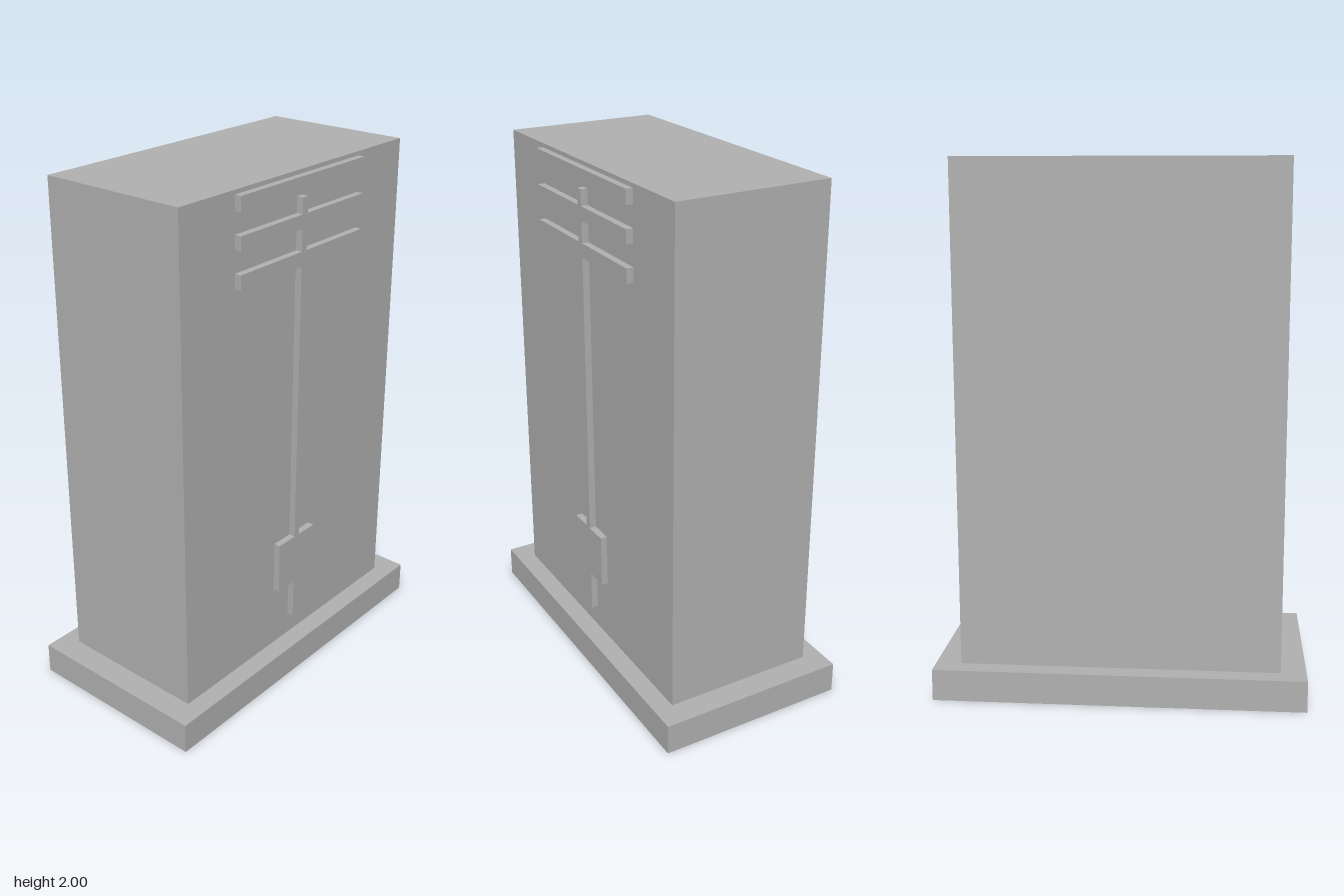
import * as THREE from 'three';

export function createModel() {
  const group = new THREE.Group();
  const grey = new THREE.MeshStandardMaterial({ color: 0xb2b2b2, side: THREE.DoubleSide });
  grey.name = 'grey';

  const add = (name, geometry, x = 0, y = 0) => {
    const mesh = new THREE.Mesh(geometry, grey);
    mesh.name = name;
    mesh.position.set(x, y, 0);
    group.add(mesh);
  };

  // Box without its underside (face group 3 of a BoxGeometry)
  const openBox = (w, h, d) => {
    const box = new THREE.BoxGeometry(w, h, d);
    const index = Array.from(box.index.array);
    index.splice(18, 6);
    box.setIndex(index);
    box.clearGroups();
    return box;
  };

  // Plinth, hollow from below, and the tall slab standing on it
  const wall = 0.294, relief = 0.026;
  add('plinth', openBox(0.736, 0.12, 1.396), 0, 0.06);
  add('slab', openBox(wall * 2, 1.88, 1.204), 0, 1.06);

  // Relief on the left side: half outline as [half width, height], mirrored
  const stem = 0.0135, plate = 0.105, bar = 0.338;
  const half = [
    [stem, 0.21], [stem, 0.37], [plate, 0.37], [plate, 0.577], [stem, 0.577],
    [stem, 1.667], [bar, 1.667], [bar, 1.72], [stem, 1.72],
    [stem, 1.8], [bar, 1.8], [bar, 1.852], [stem, 1.852], [stem, 1.911],
  ];
  const mirrored = half.map(([w, y]) => [-w, y]).reverse();
  const outline = new THREE.Shape([...half, ...mirrored].map(([w, y]) => new THREE.Vector2(w, y)));
  const ornament = new THREE.ExtrudeGeometry(outline, { depth: relief, bevelEnabled: false });
  ornament.rotateY(Math.PI / 2);
  add('stemWithCrossbars', ornament, wall);

  // Separate top bar
  add('topBar', new THREE.BoxGeometry(relief, 0.053, bar * 2), wall + relief / 2, 1.958);

  return group;
}
